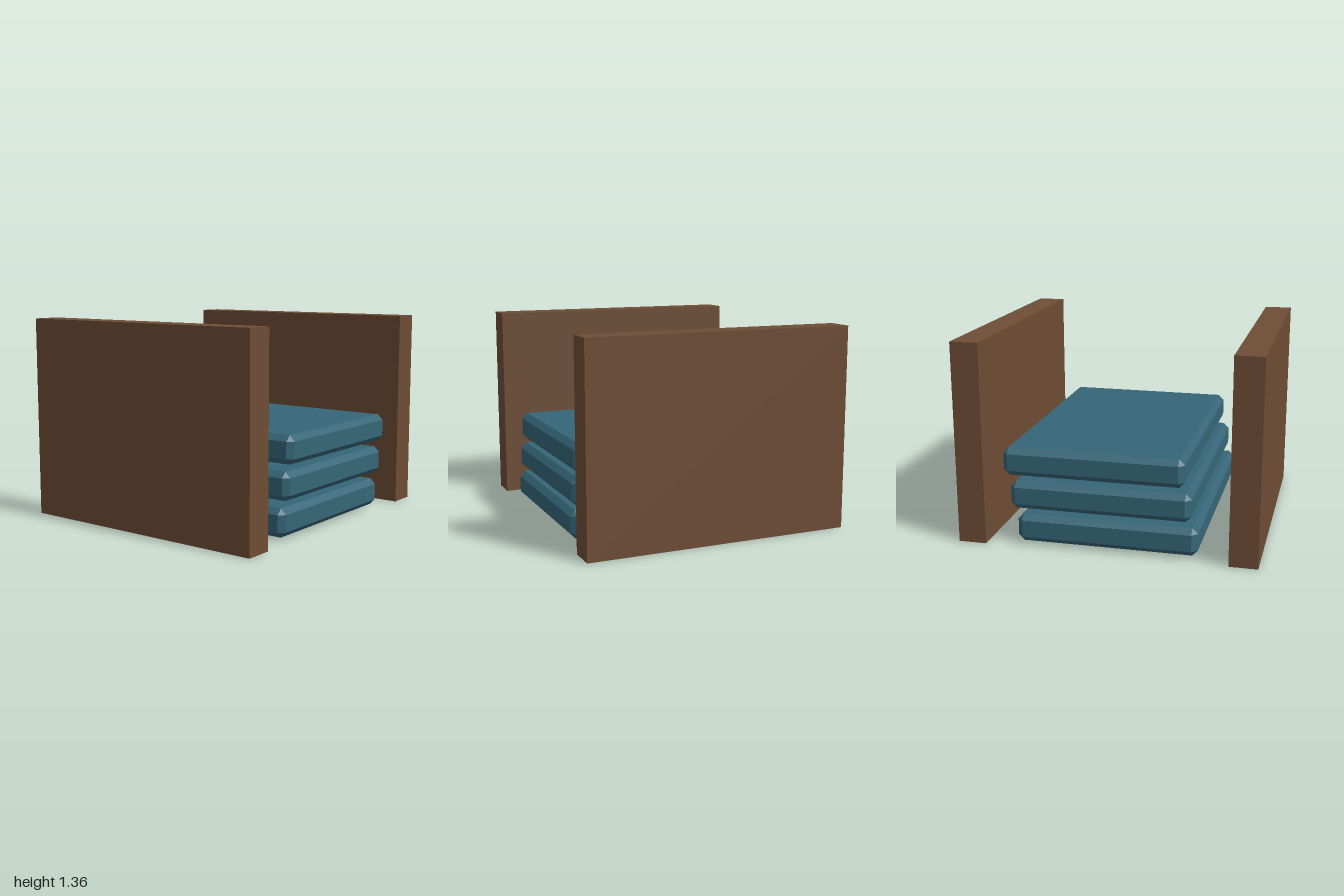
import * as THREE from 'three';
import { ConvexGeometry } from 'three/addons/geometries/ConvexGeometry.js';

const U = 2 / 53; // one design unit

// Box with every edge and corner cut flat by b
function chamferedBox(w, h, d, b) {
  const points = [];
  for (const sx of [-1, 1]) for (const sy of [-1, 1]) for (const sz of [-1, 1]) {
    const x = w / 2, y = h / 2, z = d / 2;
    points.push(
      new THREE.Vector3(sx * x, sy * (y - b), sz * (z - b)),
      new THREE.Vector3(sx * (x - b), sy * y, sz * (z - b)),
      new THREE.Vector3(sx * (x - b), sy * (y - b), sz * z),
    );
  }
  return new ConvexGeometry(points);
}

export function createModel() {
  const group = new THREE.Group();
  const wood = new THREE.MeshStandardMaterial({ color: 0x6e4d35, flatShading: true });
  const cover = new THREE.MeshStandardMaterial({ color: 0x366678, flatShading: true });

  // Upright side panels
  const panelGeometry = new THREE.BoxGeometry(5 * U, 36 * U, 48 * U);
  for (const [name, side] of [['leftPanel', 1], ['rightPanel', -1]]) {
    const panel = new THREE.Mesh(panelGeometry, wood);
    panel.name = name;
    panel.position.set(side * 24 * U, 18 * U, 0);
    group.add(panel);
  }

  // Stack of three slabs, each shifted a little to the left of the one below
  const slabGeometry = chamferedBox(32 * U, 5 * U, 46 * U, U);
  const stack = new THREE.Group();
  stack.name = 'slabStack';
  for (let i = 0; i < 3; i++) {
    const slab = new THREE.Mesh(slabGeometry, cover);
    slab.name = `slab${i + 1}`;
    slab.position.set(1.2 * i * U, (3 + 6 * i) * U, 0);
    stack.add(slab);
  }
  group.add(stack);

  return group;
}
